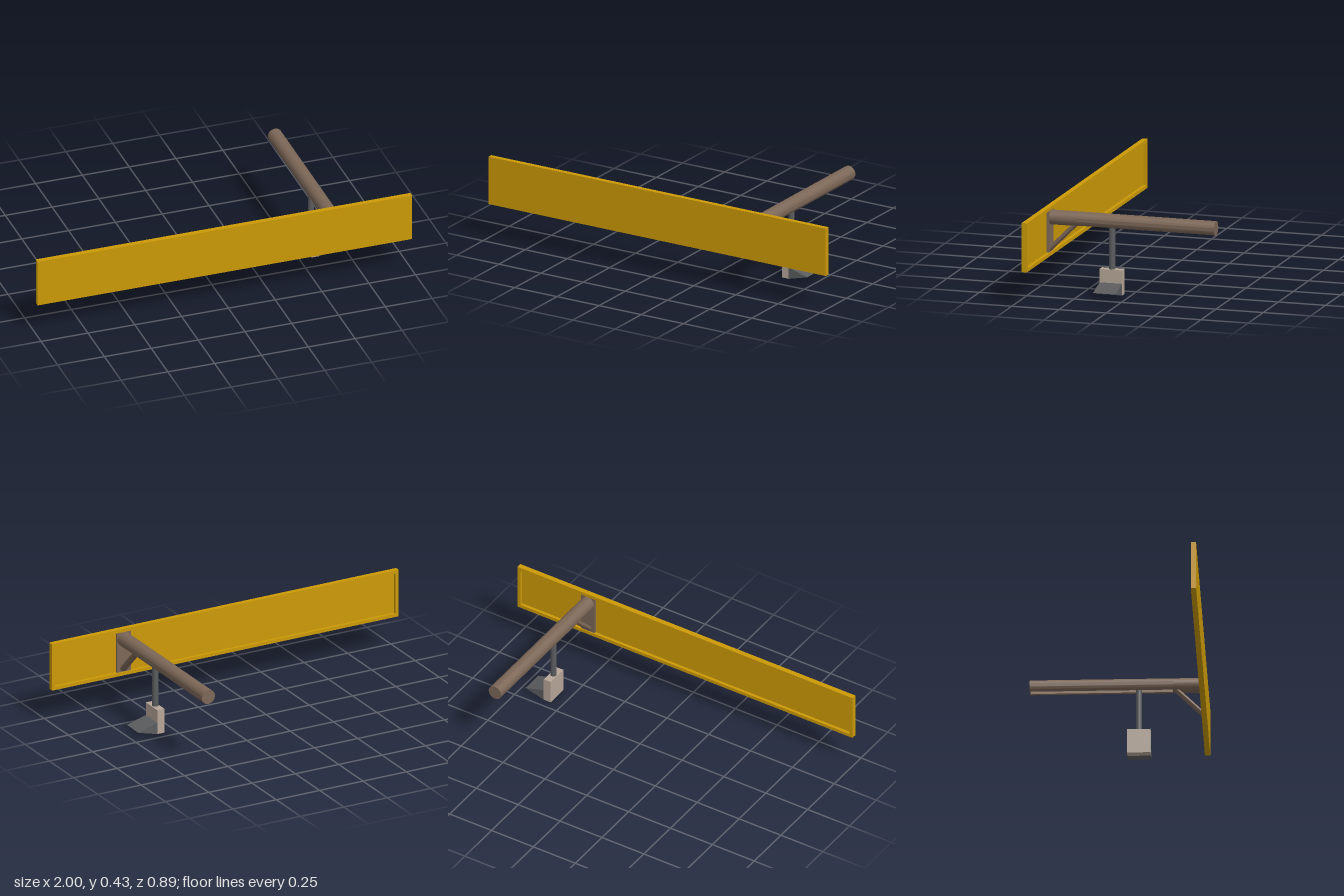
import * as THREE from 'three';
import { toCreasedNormals } from 'three/addons/utils/BufferGeometryUtils.js';

const material = (name, color) => new THREE.MeshStandardMaterial({ name, color });

export function createModel() {
  const gold = material('gold paint', 0xcc9a06);
  const brown = material('brown steel', 0x7c6757);
  const beige = material('beige casing', 0xb6a698);
  const grey = material('dark grey metal', 0x5b5c5e);

  const model = new THREE.Group();
  model.name = 'wallBeamWithHoist';
  const add = (name, geometry, mat, x = 0, y = 0, z = 0) => {
    const mesh = new THREE.Mesh(geometry, mat);
    mesh.name = name;
    mesh.position.set(x, y, z);
    model.add(mesh);
    return mesh;
  };
  const box = (name, mat, x0, x1, y0, y1, z0, z1) =>
    add(name, new THREE.BoxGeometry(x1 - x0, y1 - y0, z1 - z0), mat,
      (x0 + x1) / 2, (y0 + y1) / 2, (z0 + z1) / 2);
  const extrude = (shape, depth) => toCreasedNormals(
    new THREE.ExtrudeGeometry(shape, { depth, bevelEnabled: false, curveSegments: 40 }), 0.5);
  const rectangle = (path, x, y0, y1) => path
    .moveTo(-x, y0).lineTo(x, y0).lineTo(x, y1).lineTo(-x, y1).closePath();

  // Long panel with a raised rim around its back
  box('panelFace', gold, -1, 1, 0.18, 0.434, 0.436, 0.447);
  const rim = rectangle(new THREE.Shape(), 1, 0.18, 0.434);
  rim.holes.push(rectangle(new THREE.Path(), 0.982, 0.198, 0.416));
  add('panelRim', extrude(rim, 0.016), gold, 0, 0, 0.42);

  // Mounting plate inside the rim
  const beamX = 0.582, beamY = 0.376, radius = 0.0375;
  box('mountingPlate', brown, 0.542, 0.622, 0.199, 0.415, 0.424, 0.436);

  // Round beam, slotted underneath, closed at both ends
  const gap = 0.6, inner = radius - 0.006;
  const start = -Math.PI / 2 + gap, end = Math.PI * 1.5 - gap;
  const channel = new THREE.Shape();
  channel.absarc(0, 0, radius, start, end, false);
  channel.absarc(0, 0, inner, end, start, true);
  channel.closePath();
  add('slottedBeam', extrude(channel, 0.718), brown, beamX, beamY, -0.443);
  const disc = (name, z0, z1) => add(name,
    new THREE.CylinderGeometry(radius, radius, z1 - z0, 40).rotateX(Math.PI / 2),
    brown, beamX, beamY, (z0 + z1) / 2);
  disc('beamRoot', 0.275, 0.426);
  disc('beamEndCap', -0.447, -0.443);

  // Diagonal brace from the plate to the beam
  const brace = new THREE.CylinderGeometry(0.0124, 0.0124, 0.208, 24);
  brace.scale(1.8, 1, 1).rotateX(-Math.PI / 4);
  add('brace', brace, brown, beamX, 0.284, 0.3585);

  // Hanging rod and casing
  add('hangingRod', new THREE.CylinderGeometry(0.0155, 0.0155, 0.24, 24), grey, beamX, 0.245, 0.102);
  box('casing', beige, 0.562, 0.603, 0, 0.13, 0.043, 0.162);

  // Wedge pointing sideways from the casing
  const wedge = new THREE.Shape();
  wedge.moveTo(0.603, 0).lineTo(0.712, 0.029).lineTo(0.603, 0.061).closePath();
  add('wedge', extrude(wedge, 0.119), grey, 0, 0, 0.043);

  return model;
}
